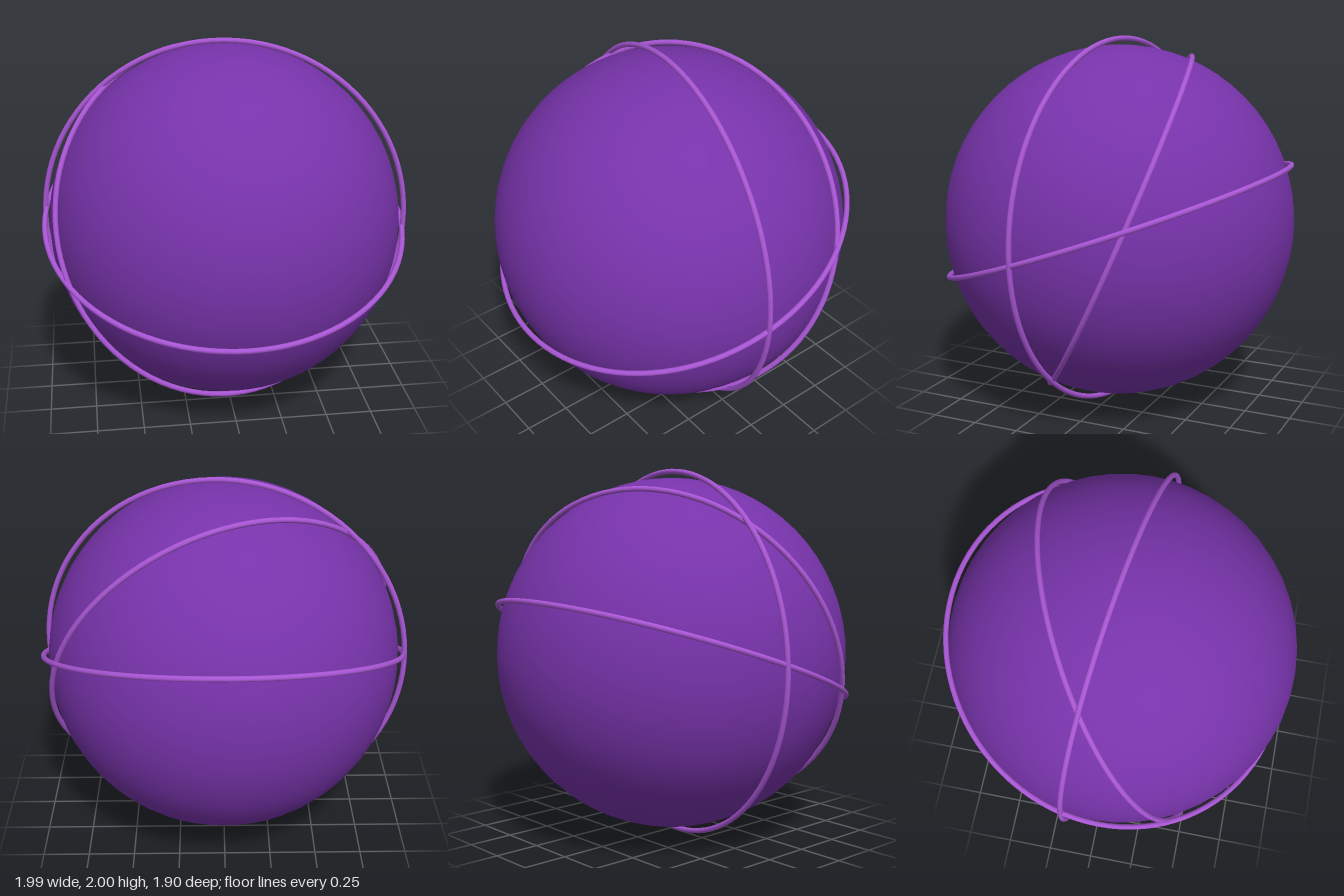
import * as THREE from 'three';

const deg = THREE.MathUtils.degToRad;

export function createModel() {
  const model = new THREE.Group();
  model.name = 'ringedOrb';

  const orbMaterial = new THREE.MeshStandardMaterial({ color: 0x7733aa });
  const ringMaterial = new THREE.MeshStandardMaterial({ color: 0xa855d4 });

  // Smooth central ball
  const orb = new THREE.Mesh(new THREE.SphereGeometry(0.952, 48, 32), orbMaterial);
  orb.name = 'orb';
  orb.position.y = 1;
  model.add(orb);

  // Thin hoops around the ball, each with its own radius and tilt in degrees
  const rings = [
    { name: 'uprightRing', radius: 0.986, tiltX: 0, tiltY: -8 },
    { name: 'equatorRing', radius: 0.981, tiltX: 110, tiltY: 0 },
    { name: 'slantedRing', radius: 0.97, tiltX: -25, tiltY: 20 },
  ];
  for (const { name, radius, tiltX, tiltY } of rings) {
    const ring = new THREE.Mesh(new THREE.TorusGeometry(radius, 0.0143, 10, 96), ringMaterial);
    ring.name = name;
    ring.position.y = 1;
    ring.rotation.set(deg(tiltX), deg(tiltY), 0);
    model.add(ring);
  }

  return model;
}
